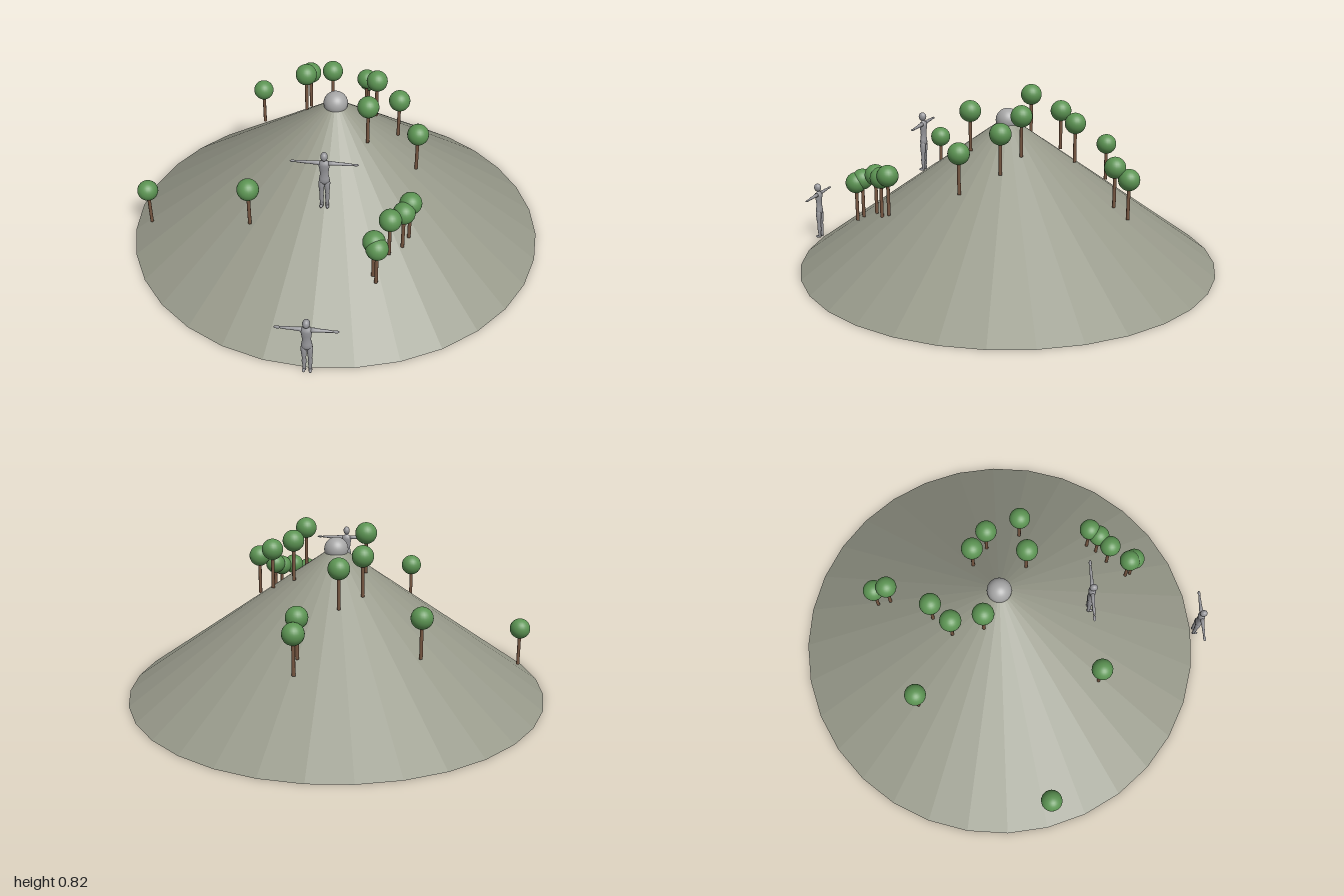
import * as THREE from 'three';

const mat = (name, color, extra = {}) => {
  const m = new THREE.MeshStandardMaterial({ color, ...extra });
  m.name = name;
  return m;
};

function add(parent, name, geometry, material, x = 0, y = 0, z = 0) {
  const mesh = new THREE.Mesh(geometry, material);
  mesh.name = name;
  mesh.position.set(x, y, z);
  parent.add(mesh);
  return mesh;
}

// foliage centres: x, y, z
const TREES = [
  [-0.875, 0.255, 0.19], [-0.33, 0.49, 0.44], [-0.415, 0.49, -0.41], [-0.145, 0.705, -0.235],
  [-0.05, 0.67, -0.325], [-0.145, 0.775, -0.09], [0.18, 0.74, -0.13], [0.29, 0.68, -0.065],
  [0.16, 0.745, 0.115], [0.385, 0.605, 0.095], [0.105, 0.465, -0.605], [0.1, 0.515, -0.54],
  [0.375, 0.475, 0.435], [0.35, 0.455, 0.48], [0.295, 0.45, 0.53], [0.235, 0.405, 0.625],
  [0.25, 0.39, 0.65],
];

// smooth round limb from a profile of [radius, height] pairs
const lathe = (profile) =>
  new THREE.LatheGeometry(profile.map(([r, y]) => new THREE.Vector2(r, y)), 14);

function createFigure(material, armScale) {
  const figure = new THREE.Group();
  figure.name = 'figure';

  // torso from hips to neck, flattened front to back
  const torso = lathe([[0, 0.122], [0.018, 0.127], [0.024, 0.14], [0.022, 0.155], [0.018, 0.175],
    [0.021, 0.2], [0.025, 0.222], [0.022, 0.236], [0.009, 0.243], [0.007, 0.252], [0, 0.255]]);
  torso.scale(1, 1, 0.68);
  add(figure, 'torso', torso, material);

  const head = new THREE.SphereGeometry(0.017, 16, 12);
  head.scale(0.92, 1.2, 1.08);
  add(figure, 'head', head, material, 0, 0.264, 0.003);

  const leg = lathe([[0, 0], [0.008, 0.001], [0.007, 0.02], [0.01, 0.05], [0.0085, 0.068],
    [0.012, 0.1], [0.0135, 0.128], [0.008, 0.142], [0, 0.144]]);
  const foot = new THREE.SphereGeometry(0.008, 12, 8);
  foot.scale(0.9, 0.8, 1.9);
  const arm = lathe([[0, 0], [0.01, 0.003], [0.009, 0.02], [0.0065, 0.048], [0.007, 0.06],
    [0.0045, 0.09], [0, 0.092]]);
  const hand = new THREE.SphereGeometry(0.011, 12, 8);
  hand.scale(1.3, 0.4, 0.65);

  for (const side of [-1, 1]) {
    add(figure, 'leg', leg, material, side * 0.0125, 0.002, 0);
    add(figure, 'foot', foot, material, side * 0.014, 0.0064, 0.006);
    // arms held straight out
    const armMesh = add(figure, 'arm', arm, material, side * 0.016, 0.23, 0);
    armMesh.rotation.z = -side * Math.PI / 2;
    armMesh.scale.y = armScale;
    add(figure, 'hand', hand, material, side * (0.018 + 0.1 * armScale), 0.23, 0);
  }
  return figure;
}

export function createModel() {
  const model = new THREE.Group();
  model.name = 'hill';

  const earth = mat('earth', 0x97998a, { flatShading: true });
  const stone = mat('stone', 0xa6a6a6);
  const leaf = mat('leaf', 0x5c9453);
  const bark = mat('bark', 0x755540);
  const grey = mat('figureGrey', 0x96969a);

  // faceted hill with a round stone on the peak
  add(model, 'hillCone', new THREE.ConeGeometry(0.985, 0.7, 32), earth, 0, 0.35, -0.015);
  add(model, 'peakStone', new THREE.SphereGeometry(0.056, 32, 20), stone, 0, 0.678, -0.015);

  // trees
  const crown = new THREE.SphereGeometry(0.049, 24, 16);
  const trunk = new THREE.CylinderGeometry(0.008, 0.008, 0.18, 10);
  for (const [x, y, z] of TREES) {
    const tree = new THREE.Group();
    tree.name = 'tree';
    tree.position.set(x, y, z);
    add(tree, 'crown', crown, leaf);
    add(tree, 'trunk', trunk, bark, 0, -0.095, 0);
    model.add(tree);
  }

  // one figure at the foot of the hill, one halfway up
  const lower = createFigure(grey, 1);
  lower.position.set(0, 0, 0.983);
  const upper = createFigure(grey, 1.16);
  upper.position.set(0, 0.403, 0.405);
  model.add(lower, upper);

  return model;
}
